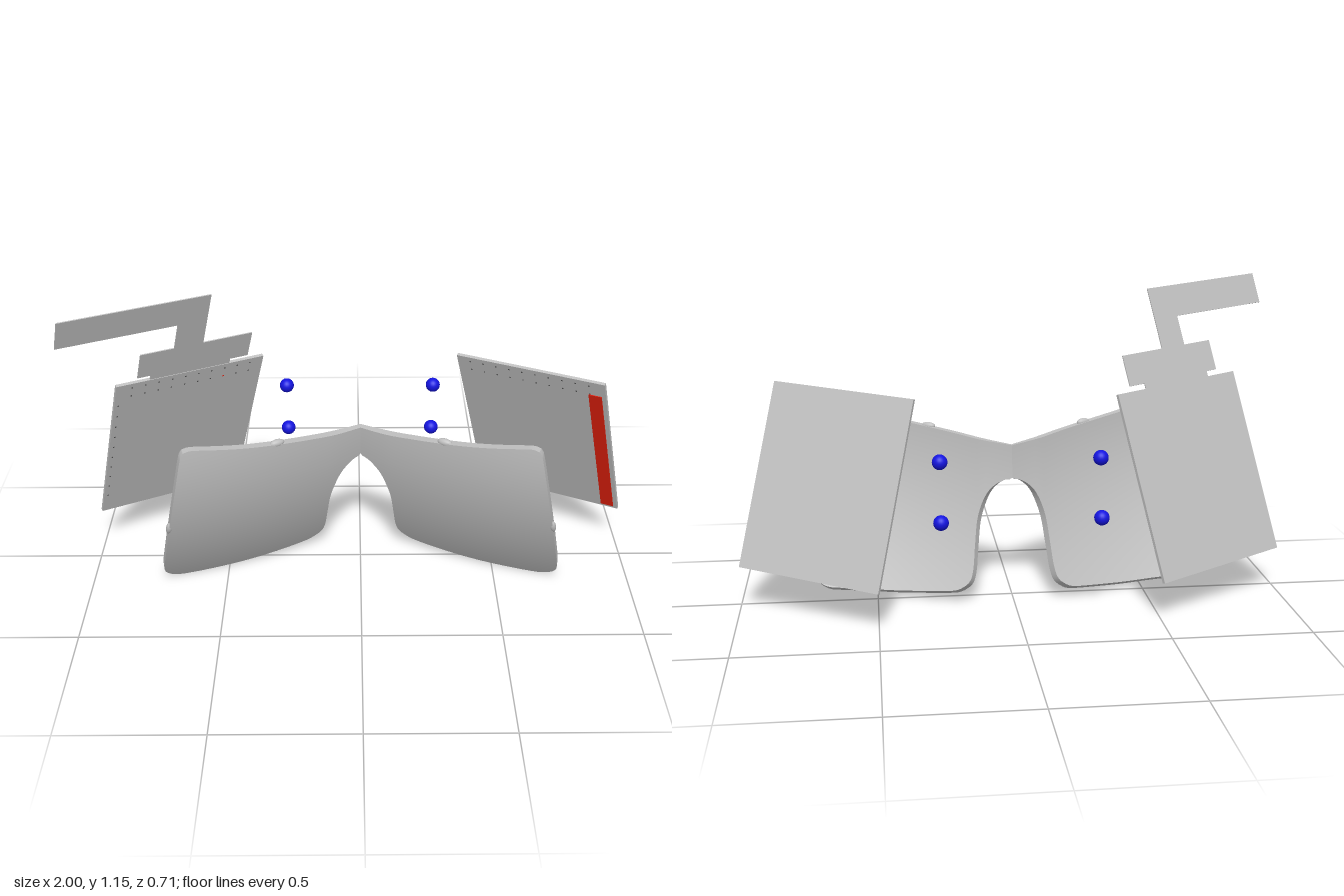
import * as THREE from 'three';
import { toCreasedNormals } from 'three/addons/utils/BufferGeometryUtils.js';

const mat = (name, color, side = THREE.FrontSide) =>
  Object.assign(new THREE.MeshStandardMaterial({ color, side }), { name });
const V2 = (x, y) => new THREE.Vector2(x, y);

// Lens outline (one half), as four border curves
const spline = pts => new THREE.SplineCurve(pts.map(p => V2(...p)));
const TL = [0, 0.575], TR = [0.61, 0.655], BL = [0.185, 0.05], BR = [0.712, 0.018];
const top = spline([TL, [0.1, 0.583], [0.2, 0.598], [0.4, 0.628], [0.57, 0.659], [0.595, 0.66], TR]);
const bottom = spline([BL, [0.23, 0.035], [0.4, 0.016], [0.55, 0.009], [0.66, 0.006], [0.69, 0.009], BR]);
const outer = spline([TR, [0.622, 0.63], [0.651, 0.485], [0.68, 0.34], [0.708, 0.2], [0.732, 0.075], [0.729, 0.04], BR]);
const inner = new THREE.Path();
inner.moveTo(...TL);
inner.lineTo(0, 0.45);
inner.splineThru([[0.035, 0.438], [0.08, 0.39], [0.115, 0.3], [0.13, 0.2], [0.14, 0.12], [0.155, 0.075], BL].map(p => V2(...p)));

// Blend of the four borders
function outlinePoint(s, t) {
  const a = inner.getPointAt(t), b = outer.getPointAt(t), c = top.getPointAt(s), d = bottom.getPointAt(s);
  const f = k => (1 - s) * a.getComponent(k) + s * b.getComponent(k) + (1 - t) * c.getComponent(k) + t * d.getComponent(k)
    - ((1 - s) * (1 - t) * TL[k] + s * (1 - t) * TR[k] + (1 - s) * t * BL[k] + s * t * BR[k]);
  return [f(0), f(1)];
}

// Curved lens surface, moved by an offset along its normal
function lensPoint(s, t, offset) {
  const [x, y] = outlinePoint(s, t);
  const n = new THREE.Vector3(-(0.72 - 0.66 * x), -1.14 * (0.65 - y), 1).normalize();
  n.x *= Math.min(1, Math.max(0, x) / 0.1);
  const z = 0.013 + 0.72 * x - 0.33 * x * x - 0.57 * (0.65 - y) ** 2;
  return new THREE.Vector3(x, y, z).addScaledVector(n, offset);
}

// Grid surface from a point rule
function grid(fn, nu, nv, flip) {
  const pos = [], idx = [];
  for (let j = 0; j <= nv; j++)
    for (let i = 0; i <= nu; i++) pos.push(...fn(i / nu, j / nv));
  for (let j = 0; j < nv; j++)
    for (let i = 0; i < nu; i++) {
      const a = j * (nu + 1) + i, b = a + 1, c = a + nu + 1, d = c + 1;
      idx.push(...(flip ? [a, b, c, b, d, c] : [a, c, b, b, c, d]));
    }
  const g = new THREE.BufferGeometry();
  g.setAttribute('position', new THREE.Float32BufferAttribute(pos, 3));
  g.setIndex(idx);
  g.computeVertexNormals();
  return g;
}

// Walks round the lens border
function border(k) {
  const e = Math.min(3, Math.floor(k * 4)), f = k * 4 - e;
  return [[f, 0], [1, f], [1 - f, 1], [0, 1 - f]][e];
}

export function createModel() {
  const model = new THREE.Group();
  model.name = 'headMountedDisplay';
  const grey = mat('grey', 0xc0c0c0);
  const red = mat('red', 0xe6200d);
  const blue = mat('blue', 0x1414e0);
  const dark = mat('darkGrey', 0x555555);

  const add = (parent, name, geo, material, x = 0, y = 0, z = 0) => {
    const m = new THREE.Mesh(geo, material);
    m.name = name;
    m.position.set(x, y, z);
    parent.add(m);
    return m;
  };
  const FRONT = 0.01, BACK = -0.02;

  for (const side of [1, -1]) {
    const label = side > 0 ? 'left' : 'right';
    const point = (s, t, o) => {
      const p = lensPoint(s, t, o);
      return [p.x * side, p.y, p.z];
    };

    // Curved lens shell
    const lens = new THREE.Group();
    lens.name = label + 'Lens';
    model.add(lens);
    add(lens, 'lensFront', grid((s, t) => point(s, t, FRONT), 40, 40, side < 0), grey);
    add(lens, 'lensBack', grid((s, t) => point(s, t, BACK), 40, 40, side > 0), grey);
    const rim = grid((k, w) => point(...border(k), w ? BACK : FRONT), 160, 1, side > 0);
    add(lens, 'lensRim', toCreasedNormals(rim, 0.6), grey);

    // Small locating tabs on the rim
    const topTab = add(lens, 'topTab', new THREE.SphereGeometry(1, 16, 10), grey, side * 0.295, 0.612, 0.193);
    topTab.scale.set(0.028, 0.014, 0.014);
    topTab.rotation.y = -side * 0.5;
    const sideTab = add(lens, 'sideTab', new THREE.SphereGeometry(1, 16, 10), grey, side * 0.683, 0.318, 0.286);
    sideTab.scale.set(0.012, 0.028, 0.014);
    sideTab.rotation.set(0.35, 0, side * 0.2);

    // Eye reference points
    add(model, label + 'UpperEyePoint', new THREE.SphereGeometry(0.027, 24, 16), blue, side * 0.28, 0.593, -0.282);
    add(model, label + 'LowerEyePoint', new THREE.SphereGeometry(0.027, 24, 16), blue, side * 0.28, 0.387, -0.32);

    // Tilted display panel, local origin at its outer top front corner
    const panel = new THREE.Group();
    panel.name = label + 'Display';
    const u = new THREE.Vector3(0.495, side * 0.02, side * 0.285).normalize();
    const n = u.clone().cross(new THREE.Vector3(-side * 0.14, 0.64, 0.2)).normalize();
    const v = n.clone().cross(u);
    panel.quaternion.setFromRotationMatrix(new THREE.Matrix4().makeBasis(u, v, n));
    panel.position.set(side * 0.85, 0.805, 0.136);
    model.add(panel);
    add(panel, 'displayPlate', new THREE.BoxGeometry(0.571, 0.685, 0.012), grey, -side * 0.2855, -0.3425, -0.006);

    // Tiny contact marks on the front face
    const dot = new THREE.BoxGeometry(0.005, 0.005, 0.002);
    for (let i = 0; i < 10; i++)
      for (const y of [-0.02, -0.06])
        add(panel, 'contactMark', dot, i === 7 && y < -0.05 && side < 0 ? red : dark, -side * (0.06 + i * 0.051), y, 0);
    if (side < 0)
      for (let i = 0; i < 10; i++) add(panel, 'edgeMark', dot, dark, 0.015, -0.1 - i * 0.055, 0);

    if (side > 0) {
      // Red strip along the outer edge
      add(panel, 'redStrip', new THREE.BoxGeometry(0.049, 0.61, 0.004), red, -0.04, -0.368, 0.001);
    } else {
      // Flat ribbon connector rising from the panel
      const ribbon = new THREE.Shape([
        [0.126, -0.03], [0.434, -0.03], [0.434, 0.02], [0.504, 0.02], [0.504, 0.133], [0.313, 0.133],
        [0.313, 0.359], [-0.233, 0.359], [-0.233, 0.243], [0.203, 0.243], [0.203, 0.133],
        [0.077, 0.133], [0.077, 0.02], [0.126, 0.02],
      ].map(p => V2(...p)));
      add(panel, 'ribbonConnector', new THREE.ExtrudeGeometry(ribbon, { depth: 0.004, bevelEnabled: false }), grey, 0, 0, -0.006);
    }
  }
  return model;
}
